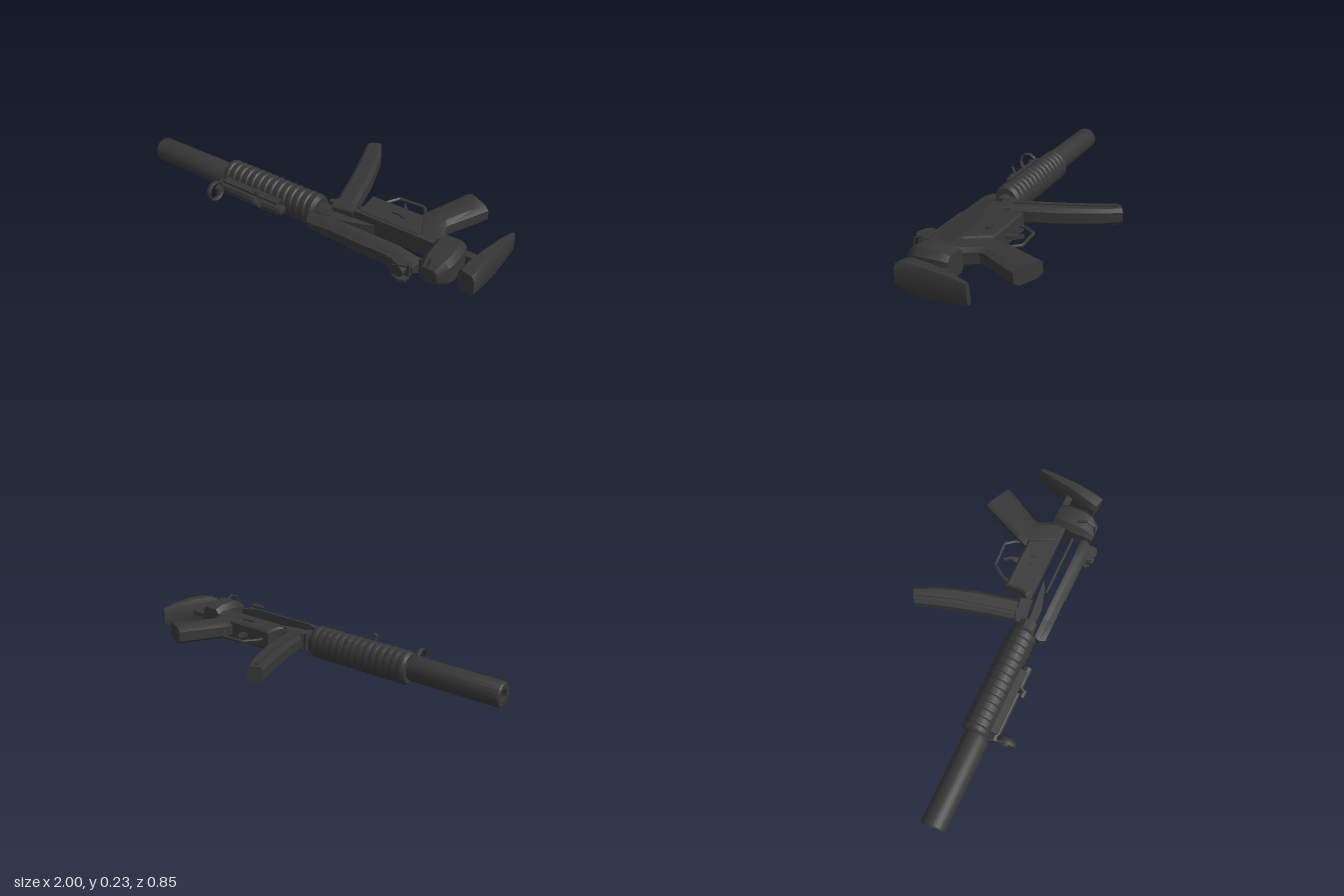
import * as THREE from 'three';
import { toCreasedNormals } from 'three/addons/utils/BufferGeometryUtils.js';

const gunmetal = new THREE.MeshStandardMaterial({ color: 0x363636 });
gunmetal.name = 'gunmetal';

// The body is built around y = 0 with the barrel along -x and the sights toward +z.
export function createModel() {
  const model = new THREE.Group();
  model.name = 'lyingCarbine';
  const body = new THREE.Group();
  body.name = 'body';
  body.position.y = 0.112;
  body.rotation.set(0.05, 0, 0.022);
  model.add(body);

  const add = (name, geo, x = 0, y = 0, z = 0) => {
    const mesh = new THREE.Mesh(toCreasedNormals(geo, 0.6), gunmetal);
    mesh.name = name;
    mesh.position.set(x, y, z);
    body.add(mesh);
    return mesh;
  };
  const box = (name, x0, x1, y0, y1, z0, z1) =>
    add(name, new THREE.BoxGeometry(x1 - x0, y1 - y0, z1 - z0), (x0 + x1) / 2, (y0 + y1) / 2, (z0 + z1) / 2);
  // Turned part along x, from [x, radius] pairs
  const turned = (name, profile, sides, y, z, sy = 1, sz = 1) => {
    const geo = new THREE.LatheGeometry(profile.map(([x, r]) => new THREE.Vector2(r, x)), sides);
    geo.rotateZ(-Math.PI / 2);
    geo.scale(1, sy, sz);
    return add(name, geo, 0, y, z);
  };
  // Flat part with an outline in x and z
  const plate = (name, outline, y0, y1, bevel = 0) => {
    const shape = new THREE.Shape(outline.map(([x, z]) => new THREE.Vector2(x, -z)));
    const geo = new THREE.ExtrudeGeometry(shape, {
      depth: y1 - y0 - 2 * bevel, bevelEnabled: bevel > 0, bevelSize: bevel,
      bevelOffset: -bevel, bevelThickness: bevel, bevelSegments: 1,
    });
    geo.rotateX(-Math.PI / 2);
    geo.translate(0, y0 + bevel, 0);
    return add(name, geo);
  };
  // Chamfered loft through sections [ax, az, bx, bz, halfThickness], ordered by z
  const ring = [[0, -0.6], [0.18, -1], [0.82, -1], [1, -0.6], [1, 0.6], [0.82, 1], [0.18, 1], [0, 0.6]];
  const loft = (name, sections) => {
    const pos = [], idx = [], n = ring.length;
    for (const [ax, az, bx, bz, h] of sections)
      for (const [t, v] of ring) pos.push(ax + (bx - ax) * t, v * h, az + (bz - az) * t);
    for (let i = 0; i < sections.length - 1; i++)
      for (let k = 0; k < n; k++) {
        const a = i * n + k, b = i * n + (k + 1) % n;
        idx.push(a, b, a + n, b, b + n, a + n);
      }
    const last = (sections.length - 1) * n;
    for (let k = 1; k < n - 1; k++) idx.push(0, k + 1, k, last, last + k, last + k + 1);
    const geo = new THREE.BufferGeometry();
    geo.setAttribute('position', new THREE.Float32BufferAttribute(pos, 3));
    geo.setIndex(idx);
    return add(name, geo);
  };
  const tube = (name, points, r, closed = false) => {
    const path = new THREE.CurvePath();
    const v = points.map(p => new THREE.Vector3(...p));
    for (let i = 0; i < v.length - 1; i++) path.add(new THREE.LineCurve3(v[i], v[i + 1]));
    if (closed) path.add(new THREE.LineCurve3(v[v.length - 1], v[0]));
    return add(name, new THREE.TubeGeometry(path, 32, r, 5, closed));
  };

  // Barrel sleeve with a shallow bore
  turned('barrelSleeve', [[-0.95, 0], [-0.95, 0.03], [-1, 0.03], [-1, 0.06], [-0.992, 0.065],
    [-0.52, 0.067], [-0.49, 0.06]], 20, 0, 0.22);

  // Ribbed handguard
  const ribs = [[-0.5, 0], [-0.5, 0.075]];
  for (let i = 0; i < 14; i++) {
    const x = -0.495 + i * 0.042;
    ribs.push([x, 0.081], [x + 0.012, 0.087], [x + 0.028, 0.087], [x + 0.036, 0.081]);
  }
  ribs.push([0.1, 0.075], [0.1, 0]);
  turned('handguard', ribs, 14, 0, 0.202, 1.04, 0.9);
  turned('barrelNut', [[0.09, 0], [0.09, 0.05], [0.16, 0.05], [0.16, 0]], 10, 0, 0.2);

  // Charging tube above the handguard
  turned('chargingTube', [[-0.49, 0], [-0.49, 0.026], [-0.07, 0.026], [-0.06, 0]], 8, 0, 0.3);
  for (const s of [-1, 1]) box('chargingTubeRib', -0.46, -0.1, s * 0.034 - 0.006, s * 0.034 + 0.006, 0.27, 0.31);
  turned('chargingKnob', [[-0.23, 0], [-0.23, 0.018], [-0.19, 0.018], [-0.19, 0]], 8, 0.01, 0.333);
  tube('chargingHandle', [[-0.21, 0.02, 0.31], [-0.21, 0.075, 0.33], [-0.2, 0.085, 0.31]], 0.009);

  // Front sight with its hooded ring
  plate('frontSightPost', [[-0.5, 0.28], [-0.45, 0.28], [-0.455, 0.36], [-0.475, 0.36]], -0.018, 0.018);
  const hood = new THREE.TorusGeometry(0.05, 0.007, 5, 10);
  hood.rotateY(Math.PI / 2);
  hood.scale(2.2, 1, 1);
  add('frontSightHood', hood, -0.468, 0.005, 0.365);

  // Receiver: top cover, lower rail, inner bar and a one-sided side wall
  loft('receiverCover', [[0.09, 0.262, 0.7, 0.262, 0.056], [0.08, 0.29, 0.715, 0.29, 0.052], [0.1, 0.322, 0.7, 0.322, 0.025]]);
  box('receiverRib', 0.34, 0.66, -0.03, 0.03, 0.31, 0.326);
  box('lowerRail', 0.12, 0.73, -0.05, 0.05, 0.135, 0.158);
  box('innerBar', 0.36, 0.72, -0.045, -0.02, 0.208, 0.22);
  const wall = new THREE.PlaneGeometry(0.62, 0.12);
  wall.rotateX(Math.PI / 2);
  add('receiverSideWall', wall, 0.42, -0.05, 0.21);
  plate('boltLever', [[0.12, 0.2], [0.4, 0.175], [0.36, 0.2], [0.24, 0.235], [0.14, 0.235]], -0.045, 0.03);

  // Curved magazine and its feed collar
  loft('magazine', [
    [-0.02, -0.385, 0.05, -0.43, 0.04], [0.01, -0.3, 0.105, -0.335, 0.044],
    [0.04, -0.21, 0.145, -0.235, 0.045], [0.075, -0.1, 0.185, -0.12, 0.046],
    [0.11, 0.03, 0.22, 0.02, 0.046], [0.145, 0.165, 0.255, 0.16, 0.046]]);
  plate('magazineRib', [[0.015, -0.385], [0.035, -0.395], [0.105, -0.2], [0.16, 0], [0.19, 0.13], [0.17, 0.13],
    [0.135, 0], [0.085, -0.2]], -0.052, 0.052);
  plate('magazineCollar', [[0.13, 0.12], [0.25, 0.1], [0.27, 0.17], [0.15, 0.185]], -0.052, 0.052, 0.008);

  // Trigger housing, guard and trigger
  plate('triggerHousing', [[0.28, 0.005], [0.57, 0.005], [0.64, 0.15], [0.3, 0.15], [0.265, 0.125], [0.285, 0.1]],
    -0.055, 0.055, 0.01);
  tube('triggerGuard', [[0.32, 0, 0.02], [0.33, 0, -0.03], [0.375, 0, -0.1], [0.51, 0, -0.108], [0.55, 0, -0.06], [0.57, 0, 0]], 0.009);
  plate('trigger', [[0.43, 0.01], [0.47, 0.01], [0.455, -0.04], [0.425, -0.075], [0.418, -0.07], [0.44, -0.035]], -0.01, 0.01);
  for (const s of [-1, 1]) {
    const pin = new THREE.CylinderGeometry(0.018, 0.018, 0.012, 8);
    add('selectorPivot', pin, 0.5, s * 0.06, 0.07);
    box('selectorLever', 0.44, 0.5, s * 0.06 - 0.004, s * 0.06 + 0.004, 0.063, 0.078);
  }

  // Pistol grip
  loft('pistolGrip', [
    [0.66, -0.29, 0.805, -0.22, 0.044], [0.63, -0.215, 0.77, -0.15, 0.046],
    [0.57, -0.075, 0.7, -0.02, 0.044], [0.54, 0.0, 0.695, 0.01, 0.046], [0.62, 0.14, 0.765, 0.15, 0.05]]);

  // Rear sight: base, drum and ears
  box('rearSightBase', 0.57, 0.69, -0.035, 0.035, 0.31, 0.335);
  const drum = new THREE.CylinderGeometry(0.034, 0.038, 0.035, 10);
  drum.rotateX(Math.PI / 2);
  add('rearSightDrum', drum, 0.64, 0, 0.345);
  for (const s of [-1, 1])
    plate('rearSightEar', [[0.59, 0.325], [0.69, 0.325], [0.685, 0.36], [0.65, 0.37], [0.61, 0.355]],
      s * 0.045 - 0.006, s * 0.045 + 0.006);

  // Receiver end cap and sling loop
  loft('endCap', [[0.725, 0.08, 0.845, 0.08, 0.06], [0.715, 0.13, 0.86, 0.12, 0.08],
    [0.715, 0.22, 0.865, 0.22, 0.082], [0.72, 0.265, 0.855, 0.265, 0.075], [0.73, 0.312, 0.82, 0.312, 0.04]]);
  tube('slingLoop', [[0.77, 0.06, 0.2], [0.77, 0.092, 0.21], [0.78, 0.106, 0.25], [0.78, 0.09, 0.295], [0.77, 0.045, 0.31]], 0.007);

  // Stock strut and shoulder butt
  box('stockStrut', 0.84, 0.96, -0.012, 0.012, 0.08, 0.115);
  loft('shoulderButt', [
    [0.978, -0.11, 0.998, -0.105, 0.05], [0.955, -0.03, 0.999, -0.03, 0.065],
    [0.925, 0.1, 0.998, 0.1, 0.076], [0.9, 0.2, 0.99, 0.205, 0.074], [0.892, 0.252, 0.982, 0.272, 0.06]]);

  return model;
}
